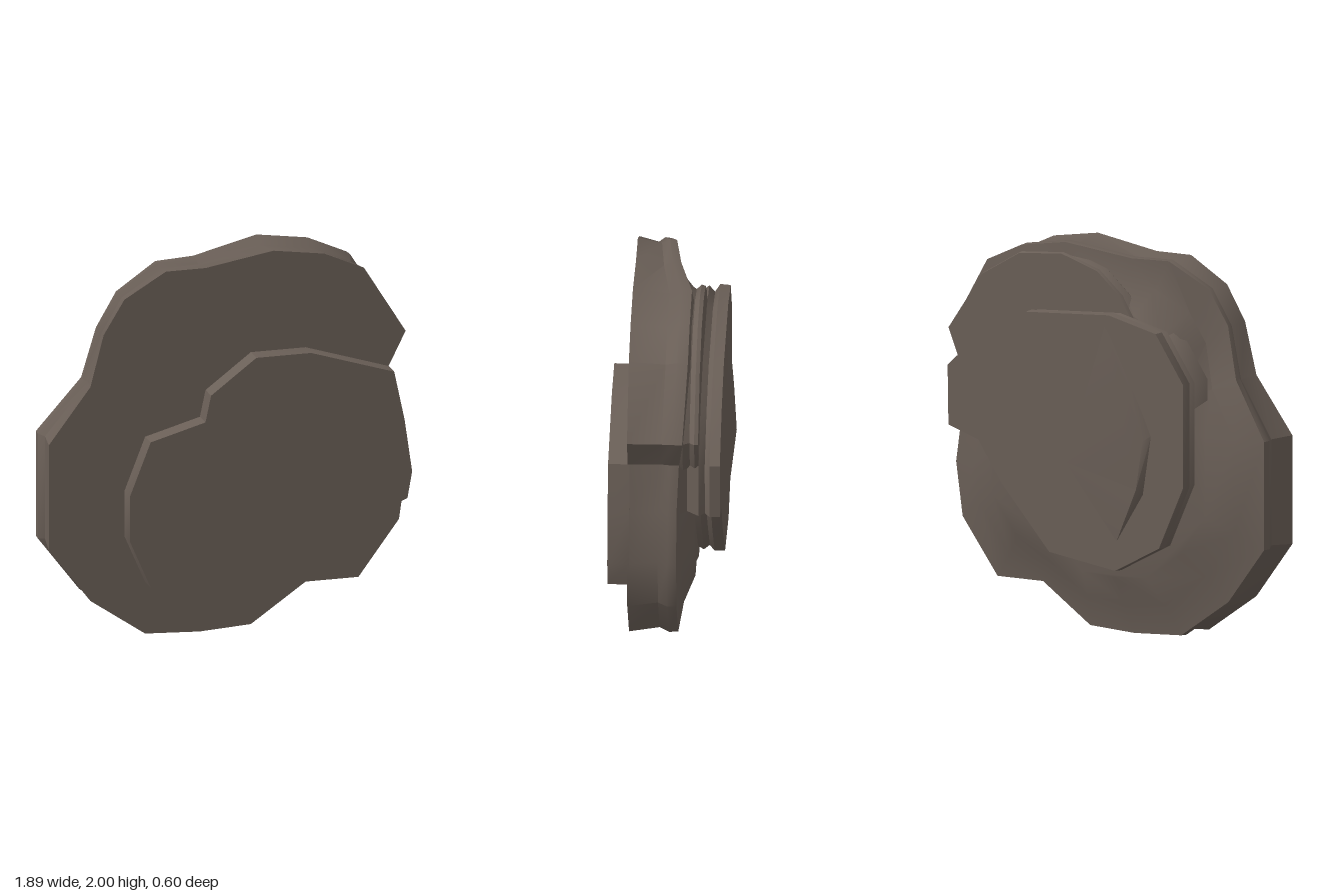
import * as THREE from 'three';
import { toCreasedNormals } from 'three/addons/utils/BufferGeometryUtils.js';
import { ConvexGeometry } from 'three/addons/geometries/ConvexGeometry.js';

const stone = new THREE.MeshStandardMaterial({ color: 0x6a5f57 });

// Skins rings of [x, y, z] (clockwise seen from the front, ordered front to back) and caps both ends
function loft(rings) {
  const n = rings[0].length, pos = rings.flat(2), index = [];
  for (let i = 0; i < rings.length - 1; i++) {
    for (let j = 0; j < n; j++) {
      const a = i * n + j, b = i * n + (j + 1) % n;
      index.push(a, b, a + n, b, b + n, a + n);
    }
  }
  const cap = (ring, start, facing) => {
    const pts = ring.map(([x, y]) => new THREE.Vector2(x, y));
    for (const [a, b, c] of THREE.ShapeUtils.triangulateShape(pts, [])) {
      const turn = THREE.ShapeUtils.area([pts[a], pts[b], pts[c]]);
      if (turn * facing > 0) index.push(start + a, start + b, start + c);
      else index.push(start + a, start + c, start + b);
    }
  };
  cap(rings[0], 0, 1);
  cap(rings[rings.length - 1], (rings.length - 1) * n, -1);
  const geo = new THREE.BufferGeometry();
  geo.setAttribute('position', new THREE.Float32BufferAttribute(pos, 3));
  geo.setIndex(index);
  return toCreasedNormals(geo, 0.6);
}

// Scales an outline about a centre; z is a number or a rule per outline point
function ring(outline, [cx, cy], s, z) {
  return outline.map((p) => [cx + (p[0] - cx) * s, cy + (p[1] - cy) * s,
    typeof z === 'function' ? z(p) : z]);
}

export function createModel() {
  const group = new THREE.Group();
  const add = (name, geo) => {
    const mesh = new THREE.Mesh(geo, stone);
    mesh.name = name;
    group.add(mesh);
  };

  // Thick main slab: x, y and the depth of its rear rim
  const main = [
    [-0.33, 1.94, 0], [-0.12, 1.94, -0.03], [0.24, 2, -0.1], [0.51, 1.96, -0.1], [0.72, 1.865, -0.1],
    [0.94, 1.51, -0.08], [0.85, 1.33, -0.06], [0.905, 1.07, -0.05], [0.945, 0.79, -0.05],
    [0.905, 0.51, -0.05], [0.69, 0.22, -0.05], [0.41, 0.22, -0.05], [0.12, 0.02, -0.05],
    [-0.15, 0.005, -0.05], [-0.44, 0.02, -0.05], [-0.73, 0.22, -0.05], [-0.95, 0.51, -0.05],
    [-0.95, 1.07, -0.05], [-0.73, 1.36, 0.02], [-0.66, 1.63, 0.05], [-0.55, 1.81, 0.04],
  ];
  const mid = [0.05, 1];
  const depth = (t) => (p) => 0.2 + (p[2] - 0.2) * t;
  add('mainSlab', loft([
    ring(main, mid, 1, 0.2),
    ring(main, mid, 0.975, depth(0.62)),
    ring(main, mid, 0.998, depth(0.82)),
    ring(main, mid, 0.995, depth(1)),
    ring(main, [0.1, 1], 0.84, (p) => p[2] - 0.025),
    ring(main, [0.1, 1], 0.7, -0.13),
  ]));

  // Thin raised plate on the front
  const plate = [
    [0.12, 1.47], [0.41, 1.47], [0.85, 1.33], [0.905, 1.07], [0.945, 0.79], [0.92, 0.65],
    [0.58, 0.51], [0.41, 0.365], [0.12, 0.51], [-0.15, 0.295], [-0.44, 0.295], [-0.55, 0.55],
    [-0.55, 0.79], [-0.44, 1.07], [-0.15, 1.15], [-0.12, 1.29],
  ];
  add('frontPlate', loft([ring(plate, mid, 1, 0.3), ring(plate, mid, 1, 0.19)]));

  // Stepped upper lobe between the main slab and the back slab
  const lobe = [
    [-0.14, 1.76], [0, 1.88], [0.22, 1.95], [0.48, 1.93], [0.71, 1.8], [0.92, 1.5],
    [0.85, 1.33], [0.6, 1], [0, 1], [-0.3, 1.5],
  ];
  add('upperLobe', loft([[0.94, -0.02], [1, -0.08], [0.96, -0.115], [1, -0.14], [0.99, -0.16]]
    .map(([s, z]) => ring(lobe, [0.3, 1.4], s, z))));

  // Back slab on its grooved neck
  const back = [
    [-0.14, 1.68], [0.37, 1.65], [0.63, 1.53], [0.85, 1.33], [0.845, 1.02], [0.66, 0.96],
    [0.52, 0.75], [0.225, 0.42], [-0.18, 0.36], [-0.45, 0.5], [-0.6, 0.83], [-0.6, 1.36], [-0.43, 1.61],
  ];
  add('backSlab', loft([[0.99, -0.04], [0.93, -0.1], [0.99, -0.16], [0.95, -0.19], [1, -0.215], [0.995, -0.268]]
    .map(([s, z]) => ring(back, [0.1, 1.02], s, z))));

  // Low crest across the back face
  const crest = [
    [-0.1, 1.66, -0.266], [-0.25, 1.38, -0.272], [-0.4, 1.08, -0.266], [-0.36, 1.05, -0.288],
    [-0.35, 0.77, -0.266], [-0.33, 0.8, -0.303], [-0.18, 0.5, -0.266], [0.15, 0.9, -0.266],
  ].map((p) => new THREE.Vector3(...p));
  add('backCrest', toCreasedNormals(new ConvexGeometry(crest), 0.6));

  return group;
}
